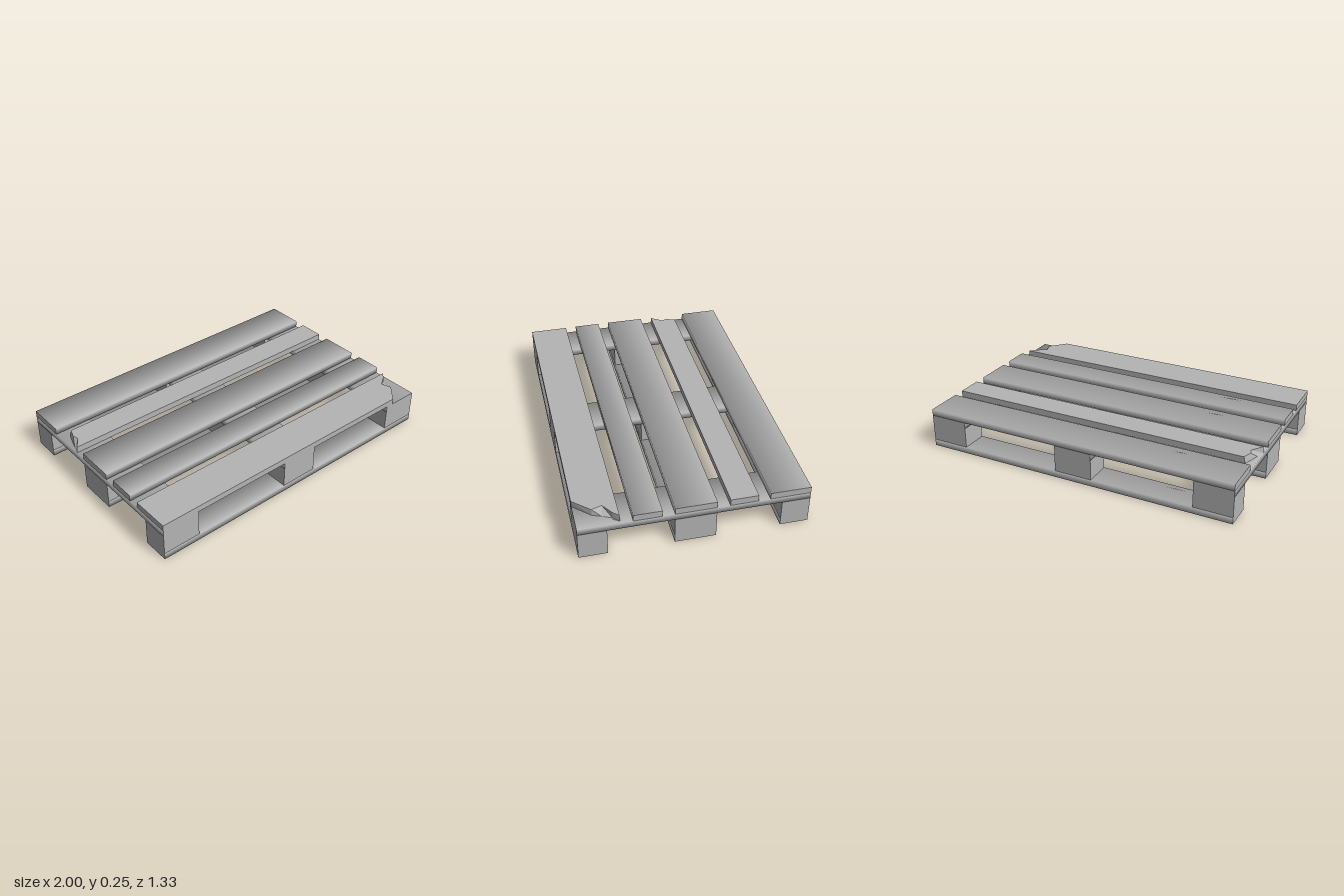
import * as THREE from 'three';

const wood = new THREE.MeshStandardMaterial({ color: 0xb4b4b4 });
wood.name = 'grey wood';

function add(group, name, geometry, x = 0, y = 0, z = 0) {
  const mesh = new THREE.Mesh(geometry, wood);
  mesh.name = name;
  mesh.position.set(x, y, z);
  group.add(mesh);
}

// Plank whose long edges are shaded softly; axis is its length direction
function softPlank(w, h, d, axis) {
  const geo = new THREE.BoxGeometry(w, h, d);
  const pos = geo.attributes.position, nor = geo.attributes.normal;
  const n = new THREE.Vector3();
  for (let i = 0; i < pos.count; i++) {
    n.fromBufferAttribute(nor, i);
    if (Math.abs(n[axis]) > 0.5) continue; // end grain stays flat
    n.set(Math.sign(pos.getX(i)), Math.sign(pos.getY(i)), Math.sign(pos.getZ(i)));
    n[axis] = 0;
    n.normalize();
    nor.setXYZ(i, n.x, n.y, n.z);
  }
  return geo;
}

// Plank with a splintered end: the [x, z] outline differs between top and bottom
function brokenPlank(top, bottom, height) {
  const shape = new THREE.Shape(top.map(([x, z]) => new THREE.Vector2(x, -z)));
  const geo = new THREE.ExtrudeGeometry(shape, { depth: height, bevelEnabled: false });
  geo.rotateX(-Math.PI / 2);
  const pos = geo.attributes.position;
  for (let i = 0; i < pos.count; i++) {
    if (pos.getY(i) > height / 2) continue;
    const k = top.findIndex(([x, z]) => Math.hypot(x - pos.getX(i), z - pos.getZ(i)) < 1e-4);
    if (k >= 0) pos.setXYZ(i, bottom[k][0], pos.getY(i), bottom[k][1]);
  }
  geo.computeVertexNormals();
  return geo;
}

export function createModel() {
  const pallet = new THREE.Group();
  pallet.name = 'pallet';
  const columns = [-0.88, 0, 0.88];
  const rows = [[-0.583, 0.166], [0, 0.24], [0.583, 0.166]]; // z, depth

  // Bottom runners with three blocks on each
  for (const [z, depth] of rows) {
    add(pallet, 'bottomRunner', softPlank(2, 0.042, depth, 'x'), 0, 0.021, z);
    for (const x of columns) {
      add(pallet, 'block', new THREE.BoxGeometry(0.24, 0.128, depth), x, 0.106, z);
    }
  }

  // Cross boards over the blocks
  for (const x of columns) {
    add(pallet, 'crossBoard', softPlank(0.24, 0.04, 1.332, 'z'), x, 0.19, 0);
  }

  // Whole deck boards
  for (const [z, depth] of [[-0.547, 0.238], [0, 0.24], [0.273, 0.164]]) {
    add(pallet, 'deckBoard', softPlank(2, 0.04, depth, 'x'), 0, 0.23, z);
  }

  // Front deck board, broken at its left front corner
  add(pallet, 'brokenFrontBoard', brokenPlank(
    [[-1, 0.666], [-1, 0.425], [0.98, 0.425], [0.947, 0.46], [0.88, 0.505], [0.9, 0.567], [0.81, 0.666]],
    [[-1, 0.666], [-1, 0.425], [0.985, 0.425], [0.95, 0.46], [0.925, 0.515], [0.905, 0.567], [0.81, 0.666]],
    0.038), 0, 0.21, 0);

  // Narrow deck board, broken at its right back corner
  add(pallet, 'brokenNarrowBoard', brokenPlank(
    [[1, -0.195], [1, -0.358], [-0.936, -0.358], [-0.955, -0.3], [-0.945, -0.265], [-0.995, -0.195]],
    [[1, -0.195], [1, -0.358], [-0.945, -0.358], [-0.965, -0.3], [-0.98, -0.25], [-1, -0.195]],
    0.04), 0, 0.21, 0);

  return pallet;
}
